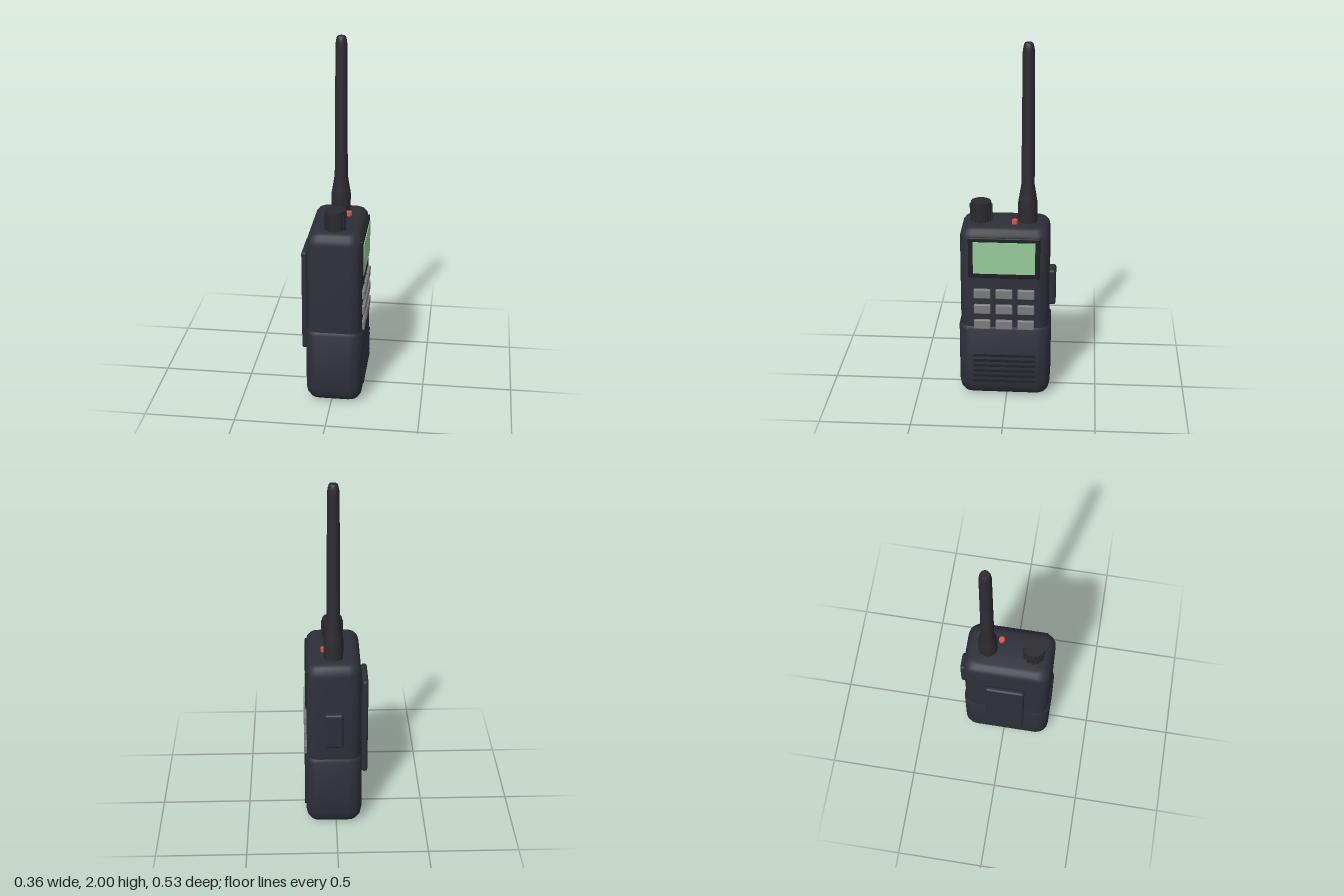
import * as THREE from 'three';
import { toCreasedNormals } from 'three/addons/utils/BufferGeometryUtils.js';
import { RoundedBoxGeometry } from 'three/addons/geometries/RoundedBoxGeometry.js';

const material = (name, color) => {
  const m = new THREE.MeshStandardMaterial({ color });
  m.name = name;
  return m;
};

// Stacks rounded rectangles; each section is [y, inset]
function roundedLoft(halfX, halfZ, radius, sections) {
  const positions = [], indices = [], steps = 4, n = 4 * (steps + 1);
  const signs = [[1, 1], [-1, 1], [-1, -1], [1, -1]];
  for (const [y, inset] of sections) {
    const r = Math.max(radius - inset * 0.6, 0.01);
    signs.forEach(([sx, sz], q) => {
      for (let s = 0; s <= steps; s++) {
        const a = (q + s / steps) * Math.PI / 2;
        positions.push(
          sx * (halfX - inset - r) + r * Math.cos(a), y,
          sz * (halfZ - inset - r) + r * Math.sin(a));
      }
    });
  }
  const last = sections.length - 1;
  for (let i = 0; i < last; i++) {
    for (let k = 0; k < n; k++) {
      const a = i * n + k, b = i * n + (k + 1) % n;
      indices.push(a, a + n, b, b, a + n, b + n);
    }
  }
  // End caps
  const bottom = positions.length / 3;
  positions.push(0, sections[0][0], 0, 0, sections[last][0], 0);
  for (let k = 0; k < n; k++) {
    const next = (k + 1) % n;
    indices.push(bottom, k, next, bottom + 1, last * n + next, last * n + k);
  }
  const g = new THREE.BufferGeometry();
  g.setAttribute('position', new THREE.Float32BufferAttribute(positions, 3));
  g.setIndex(indices);
  return toCreasedNormals(g, 0.6);
}

export function createModel() {
  const model = new THREE.Group();
  model.name = 'handheldRadio';
  const casing = material('casing', 0x2d2f38);
  const rubber = material('rubber', 0x2a2a30);
  const trim = material('darkTrim', 0x202127);
  const keyGrey = material('keyGrey', 0x7c7c80);
  const screenGreen = material('screenGreen', 0x98cc9c);
  const red = material('indicatorRed', 0xdc583c);

  const add = (name, geometry, mat, x, y, z, parent = model) => {
    const mesh = new THREE.Mesh(geometry, mat);
    mesh.name = name;
    mesh.position.set(x, y, z);
    parent.add(mesh);
    return mesh;
  };
  const group = (name) => {
    const g = new THREE.Group();
    g.name = name;
    model.add(g);
    return g;
  };
  const cx = 0.013, cz = 0.012;

  // Main casing and the slightly wider battery shell below it
  add('body', roundedLoft(0.149, 0.243, 0.062, [
    [0.38, 0], [0.955, 0], [0.982, 0.006], [1.002, 0.02], [1.012, 0.038], [1.015, 0.055],
  ]), casing, cx, 0, cz);
  add('batteryShell', roundedLoft(0.157, 0.253, 0.068, [
    [0, 0.065], [0.004, 0.045], [0.018, 0.022], [0.042, 0.007], [0.08, 0], [0.42, 0], [0.436, 0.009],
  ]), casing, cx, 0, cz);

  // Antenna
  const antennaProfile = [
    [0, 1], [0.053, 1], [0.053, 1.12], [0.048, 1.15], [0.036, 1.225],
    [0.032, 1.95], [0.029, 1.975], [0.024, 1.995], [0.02, 2], [0, 2],
  ].map(([r, y]) => new THREE.Vector2(r, y));
  add('antenna', toCreasedNormals(new THREE.LatheGeometry(antennaProfile, 24), 0.6), rubber, cx, 0, -0.108);

  // Ribbed control knob
  const knob = group('knob');
  knob.position.set(cx, 1.06, 0.147);
  add('knobCore', new THREE.CylinderGeometry(0.055, 0.055, 0.125, 24), rubber, 0, 0, 0, knob);
  for (let i = 0; i < 12; i++) {
    const a = i * Math.PI / 6;
    const rib = add('knobRib', new THREE.BoxGeometry(0.01, 0.105, 0.01), rubber,
      0.056 * Math.cos(a), -0.005, 0.056 * Math.sin(a), knob);
    rib.rotation.y = -a;
  }

  // Indicator light
  add('indicatorLight', new THREE.CylinderGeometry(0.016, 0.016, 0.03, 16), red, 0.065, 1.022, -0.04);

  // Display
  add('screenBezel', new RoundedBoxGeometry(0.02, 0.235, 0.39, 2, 0.006), trim, 0.158, 0.85, cz);
  add('screen', new THREE.BoxGeometry(0.008, 0.184, 0.337), screenGreen, 0.168, 0.852, cz);

  // Keypad, three by three
  const keypad = group('keypad');
  for (const row of [-1, 0, 1]) {
    for (const col of [-1, 0, 1]) {
      add('key', new RoundedBoxGeometry(0.026, 0.055, 0.092, 2, 0.006), keyGrey,
        0.165, 0.546 + row * 0.093, cz + col * 0.12, keypad);
    }
  }

  // Speaker grille
  const grille = group('speakerGrille');
  for (let i = 0; i < 6; i++) {
    add('grilleBar', new THREE.BoxGeometry(0.014, 0.012, 0.345), trim, 0.169, 0.1 + i * 0.032, cz, grille);
  }

  // Side talk button and rear belt clip
  add('talkButton', new RoundedBoxGeometry(0.1, 0.21, 0.045, 3, 0.014), casing, cx, 0.635, -0.2445);
  add('beltClip', new RoundedBoxGeometry(0.033, 0.59, 0.22, 3, 0.014), casing, -0.164, 0.555, cz);

  return model;
}
